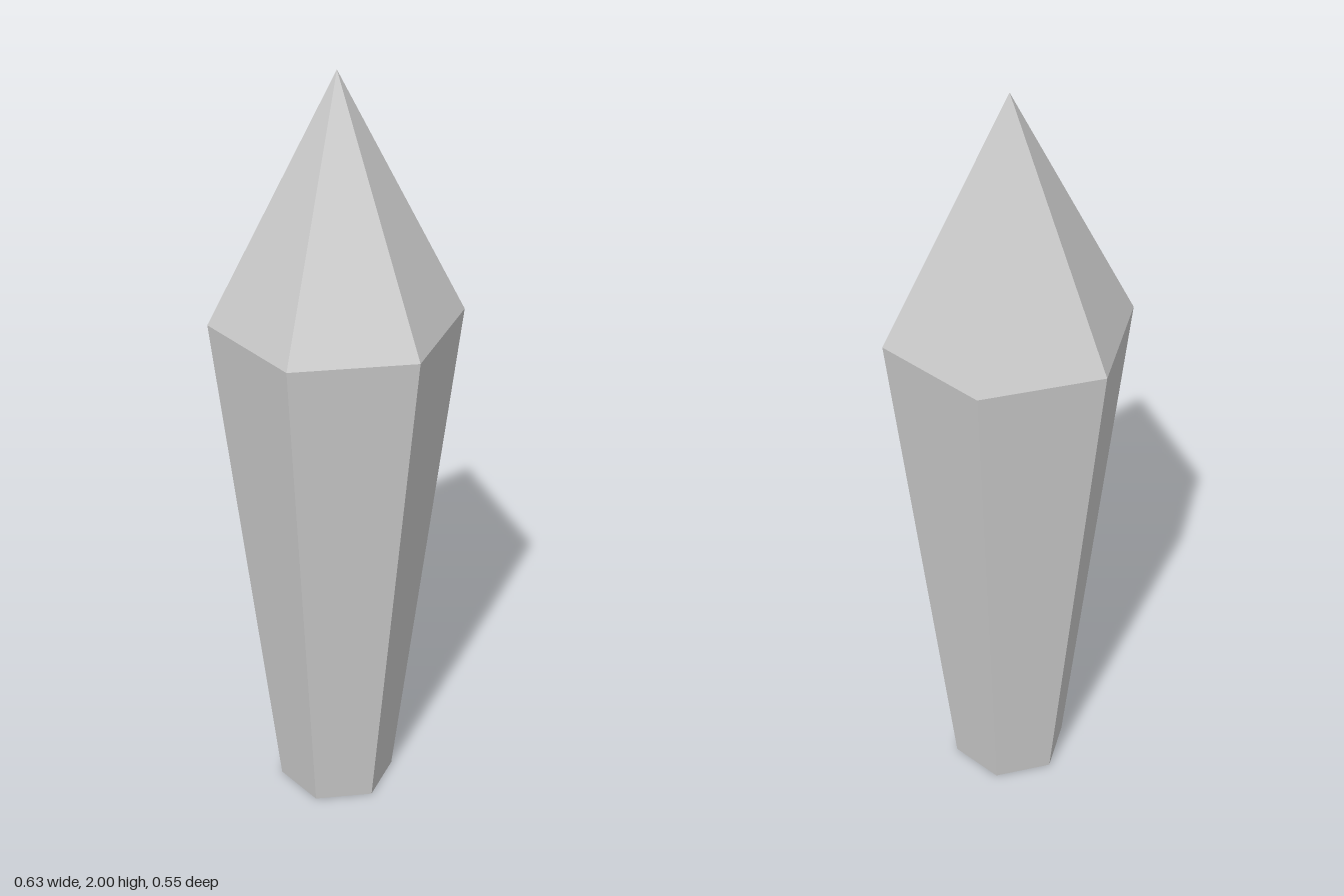
import * as THREE from 'three';

const SIDES = 6;
const TURN = Math.PI / 6; // puts two corners on the x axis
const SHOULDER_R = 0.317;
const SHOULDER_Y = 1.365;
const BASE_R = 0.15;
const HEIGHT = 2;

export function createModel() {
  const group = new THREE.Group();
  group.name = 'crystal';
  const material = new THREE.MeshStandardMaterial({ color: 0xcccccc, flatShading: true });

  const add = (name, geometry, y) => {
    const mesh = new THREE.Mesh(geometry, material);
    mesh.name = name;
    mesh.position.y = y;
    group.add(mesh);
  };

  // Tapered six-sided shaft, open where it meets the tip
  add('shaft', new THREE.CylinderGeometry(SHOULDER_R, BASE_R, SHOULDER_Y, SIDES, 1, true, TURN), SHOULDER_Y / 2);

  // Flat underside
  const base = new THREE.CircleGeometry(BASE_R, SIDES);
  base.rotateX(Math.PI / 2);
  add('base', base, 0);

  // Pointed tip
  const tipHeight = HEIGHT - SHOULDER_Y;
  add('tip', new THREE.ConeGeometry(SHOULDER_R, tipHeight, SIDES, 1, true, TURN), SHOULDER_Y + tipHeight / 2);

  return group;
}
